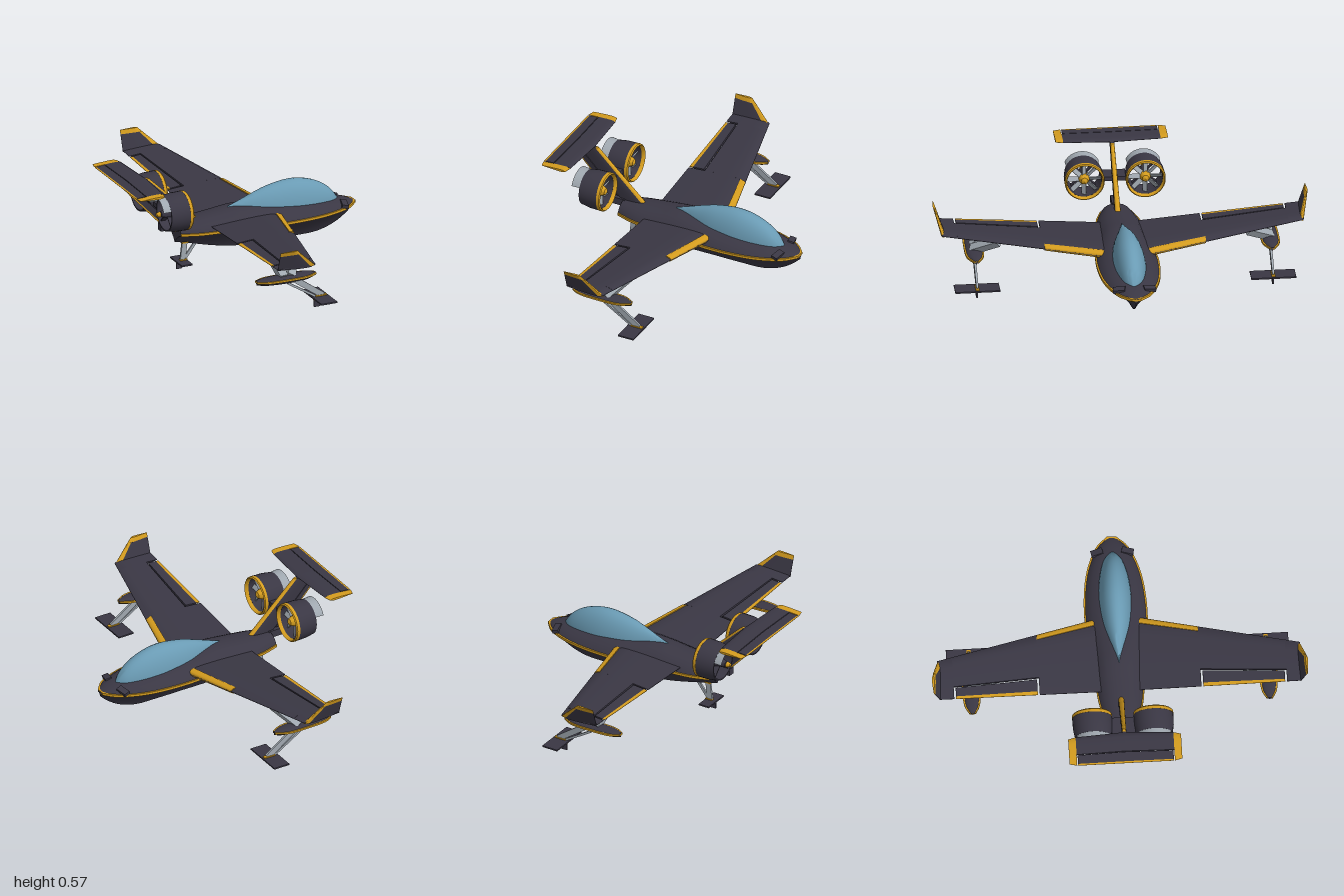
import * as THREE from 'three';
import { toCreasedNormals } from 'three/addons/utils/BufferGeometryUtils.js';

const paint = (name, color) => {
  const m = new THREE.MeshStandardMaterial({ color });
  m.name = name;
  return m;
};

export function createModel() {
  const root = new THREE.Group();
  root.name = 'seaplane';
  const dark = paint('charcoal', 0x3a3744);
  const gold = paint('gold', 0xd49c1e);
  const grey = paint('lightGrey', 0xa0a8b0);
  const glass = paint('canopyBlue', 0x6a9bb4);
  grey.side = THREE.DoubleSide;

  const add = (name, geo, mat) => {
    const m = new THREE.Mesh(geo, mat);
    m.name = name;
    root.add(m);
    return m;
  };
  const box = (name, mat, x0, x1, y0, y1, z0, z1) =>
    add(name, new THREE.BoxGeometry(x1 - x0, y1 - y0, Math.abs(z1 - z0)), mat)
      .position.set((x0 + x1) / 2, (y0 + y1) / 2, (z0 + z1) / 2);

  // Capped skin over closed rings of [x, y, z]; faces are turned outward by signed volume
  function loft(rings, crease = 0.6) {
    const n = rings[0].length, pts = rings.flat(), idx = [];
    for (let i = 0; i < rings.length - 1; i++)
      for (let j = 0; j < n; j++) {
        const a = i * n + j, b = i * n + (j + 1) % n;
        idx.push(a, b, a + n, b, b + n, a + n);
      }
    [0, rings.length - 1].forEach((r) => {
      const c = [0, 1, 2].map((k) => rings[r].reduce((s, p) => s + p[k], 0) / n);
      const ci = pts.push(c) - 1;
      for (let j = 0; j < n; j++) {
        const a = r * n + j, b = r * n + (j + 1) % n;
        r ? idx.push(ci, a, b) : idx.push(ci, b, a);
      }
    });
    const v = pts.map((p) => new THREE.Vector3(...p));
    let vol = 0;
    const cr = new THREE.Vector3();
    for (let i = 0; i < idx.length; i += 3)
      vol += v[idx[i]].dot(cr.crossVectors(v[idx[i + 1]], v[idx[i + 2]]));
    if (vol < 0) idx.reverse();
    const g = new THREE.BufferGeometry().setFromPoints(v);
    g.setIndex(idx);
    return toCreasedNormals(g, crease);
  }

  // Part of a tapered aerofoil between end sections [front x, back x, y, z, thickness]
  function panel(name, mat, A, B, u0, u1, f0, f1, axis = 'y', fat = 1) {
    const ring = (u) => {
      const [xl, xt, y, z, t] = A.map((a, i) => a + (B[i] - a) * u);
      const up = [], low = [];
      for (let i = 0; i <= 8; i++) {
        const f = f0 + (f1 - f0) * i / 8;
        const h = fat * t * (0.04 + 1.29 * (Math.sqrt(f) - f) * (1.6 - 0.3 * f));
        const x = xl + (xt - xl) * f;
        up.push(axis === 'y' ? [x, y + h, z] : [x, y, z + h]);
        low.unshift(axis === 'y' ? [x, y - h, z] : [x, y, z - h]);
      }
      return [...up, ...low];
    };
    add(name, loft([ring(u0), ring(u1)]), mat);
  }

  // Boat-shaped body from stations [x, half width, top, keel] with a gold chine strip
  const upper = [[1, 0], [0.93, 0.25], [0.75, 0.62], [0.5, 0.87], [0.25, 0.97], [0, 1]];
  const lower = [[1, 1], [0.85, 0.87], [0.5, 0.64], [0.2, 0.32], [0.04, 0.02], [0, 0]];
  const spline = (st, n) => {
    const top = new THREE.CatmullRomCurve3(st.map((s) => new THREE.Vector3(s[0], s[1], s[2])));
    const bot = new THREE.CatmullRomCurve3(st.map((s) => new THREE.Vector3(s[0], s[1], s[3] ?? 0)));
    return Array.from({ length: n + 1 }, (_, i) => {
      const a = top.getPoint(i / n), b = bot.getPoint(i / n);
      return [a.x, Math.max(a.y, 0.002), a.y, b.z].map((q, k) => (k === 2 ? a.z : q));
    });
  };
  function hull(name, stations, c, zc, strip) {
    const st = spline(stations, 30);
    const both = (half) => [...half, ...half.slice(0, -1).reverse().map(([x, y, z]) => [x, y, 2 * zc - z])];
    add(name + 'Deck', loft(st.map(([x, w, t]) => both(upper.map(([a, b]) => [x, c + (t - c) * b, zc + w * a])))), dark);
    add(name + 'Bottom', loft(st.map(([x, w, , k]) => both(lower.map(([a, b]) => [x, k + (c - k) * b, zc + w * a])))), dark);
    add(name + 'Chine', loft(st.map(([x, w]) => [[x, c - strip, zc - w - 0.004], [x, c + strip, zc - w - 0.004],
      [x, c + strip, zc + w + 0.004], [x, c - strip, zc + w + 0.004]])), gold);
  }

  // Straight bar between two points: w across in the x-y plane, d deep
  function beam(name, mat, a, b, w, d) {
    const p = new THREE.Vector3(...a), q = new THREE.Vector3(...b);
    const m = add(name, new THREE.BoxGeometry(w, p.distanceTo(q), d), mat);
    m.position.copy(p).add(q).multiplyScalar(0.5);
    m.quaternion.setFromUnitVectors(new THREE.Vector3(0, 1, 0), q.sub(p).normalize());
  }

  // Fuselage
  hull('fuselage', [
    [-0.35, 0.08, 0.285, 0.17], [-0.25, 0.112, 0.295, 0.145], [-0.12, 0.128, 0.308, 0.112], [0, 0.137, 0.32, 0.09],
    [0.2, 0.163, 0.308, 0.088], [0.35, 0.162, 0.298, 0.088], [0.48, 0.145, 0.285, 0.092], [0.58, 0.113, 0.272, 0.122],
    [0.65, 0.075, 0.256, 0.165], [0.7, 0.02, 0.238, 0.21]], 0.234, 0, 0.007);
  box('tailBlock', dark, -0.44, -0.34, 0.25, 0.29, -0.02, 0.02);

  // Canopy bubble
  const can = spline([[-0.04, 0.004, 0.322], [0.03, 0.03, 0.345], [0.1, 0.052, 0.37], [0.2, 0.076, 0.4], [0.33, 0.088, 0.416],
    [0.43, 0.082, 0.4], [0.51, 0.066, 0.365], [0.565, 0.045, 0.32], [0.605, 0.01, 0.265]], 30);
  add('canopy', loft(can.map(([x, w, t]) => Array.from({ length: 17 }, (_, i) => {
    const a = Math.PI * i / 16;
    return [x, 0.25 + (t - 0.25) * Math.sin(a), w * Math.cos(a)];
  })), 1), glass);

  // Blades turning about the x axis inside a duct
  function fan(s) {
    const zc = s * 0.163, yc = 0.412;
    const turned = (name, mat, profile) => {
      const g = new THREE.LatheGeometry(profile.map(([r, x]) => new THREE.Vector2(r, x)), 32);
      add(name, toCreasedNormals(g.rotateZ(-Math.PI / 2), 0.6), mat).position.set(0, yc, zc);
    };
    turned('duct', dark, [[0.09, -0.49], [0.097, -0.49], [0.105, -0.44], [0.106, -0.38], [0.092, -0.38], [0.09, -0.49]]);
    turned('ductRim', gold, [[0.092, -0.382], [0.107, -0.382], [0.106, -0.366], [0.1, -0.36], [0.095, -0.366], [0.092, -0.382]]);
    turned('spinner', gold, [[0, -0.425], [0.03, -0.425], [0.028, -0.4], [0.018, -0.378], [0, -0.368]]);
    turned('motor', dark, [[0, -0.52], [0.016, -0.51], [0.027, -0.46], [0.027, -0.425], [0, -0.425]]);
    turned('motorTip', gold, [[0, -0.54], [0.01, -0.535], [0.016, -0.515], [0, -0.515]]);
    for (let i = 0; i < 8; i++) {
      const g = new THREE.BoxGeometry(0.006, 0.07, 0.026).rotateY(0.6).translate(0, 0.058, 0).rotateX(i * Math.PI / 4);
      add('fanBlade', g, grey).position.set(-0.41, yc, zc);
    }
    for (let i = 0; i < 4; i++) {
      const g = new THREE.BoxGeometry(0.03, 0.07, 0.005).translate(0, 0.058, 0).rotateX((i + 0.5) * Math.PI / 2);
      add('stator', g, dark).position.set(-0.465, yc, zc);
    }
    const hood = new THREE.CylinderGeometry(0.095, 0.1, 0.055, 20, 1, true, 1.5 * Math.PI - 1.15, 2.3);
    add('exhaustHood', hood.rotateZ(-Math.PI / 2), grey).position.set(-0.508, yc, zc);
    box('enginePylon', dark, -0.48, -0.39, 0.4, 0.424, s * 0.005, s * 0.062);
  }

  for (const s of [1, -1]) {
    // Wing: inner panel, panel ahead of the aileron, aileron, outer panel
    const wing = (z) => [0.255 - 0.245 * z, -0.18 - 0.02 * z, 0.255 + 0.07 * z, s * z, 0.042 - 0.02 * z];
    const W = (name, mat, z0, z1, f0, f1, fat) => panel(name, mat, wing(z0), wing(z1), 0, 1, f0, f1, 'y', fat);
    W('innerWing', dark, 0.05, 0.43, 0, 1);
    W('leadingEdgeTrim', gold, 0.12, 0.43, -0 + 0.0005, 0.09, 1.15);
    W('midWing', dark, 0.43, 0.885, 0, 0.715);
    W('aileron', dark, 0.44, 0.875, 0.745, 0.94);
    W('aileronTrim', gold, 0.44, 0.875, 0.94, 1);
    W('outerWing', dark, 0.885, 0.965, 0, 1);

    // Upturned wing tip with gold edges
    const foot = [0.02, -0.2, 0.317, s * 0.957, 0.022], tip = [-0.1, -0.2, 0.43, s * 0.994, 0.012];
    panel('winglet', dark, foot, tip, 0, 0.8, 0.14, 1, 'z');
    panel('wingletFrontTrim', gold, foot, tip, 0, 0.8, 0, 0.14, 'z');
    panel('wingletTopTrim', gold, foot, tip, 0.8, 1, 0, 1, 'z');

    // Outrigger float on two slanted arms
    const z = s * 0.79;
    hull('float', [[-0.245, 0.012, 0.21, 0.185], [-0.2, 0.036, 0.213, 0.173], [-0.08, 0.046, 0.216, 0.165],
      [0.04, 0.04, 0.215, 0.168], [0.1, 0.01, 0.208, 0.185]], 0.2, z, 0.005);
    beam('floatArm', grey, [-0.09, 0.205, s * 0.8], [-0.1, 0.285, s * 0.665], 0.045, 0.04);
    beam('floatArm', grey, [-0.05, 0.205, s * 0.8], [0.03, 0.285, s * 0.665], 0.045, 0.04);

    // Hydrofoil below the float
    beam('foilLeg', grey, [-0.02, 0.18, z], [0.145, 0.064, z], 0.032, 0.012);
    beam('foilBrace', grey, [-0.06, 0.165, z], [0.1, 0.066, z], 0.012, 0.01);
    box('foil', dark, 0.08, 0.173, 0.056, 0.064, s * 0.67, s * 0.91);
    box('foilMount', gold, 0.1, 0.165, 0.064, 0.07, s * 0.78, s * 0.8);
    box('foilFin', dark, 0.092, 0.13, 0.005, 0.056, s * 0.786, s * 0.794);
    box('foilFinTrim', gold, 0.09, 0.132, 0.044, 0.05, s * 0.784, s * 0.796);

    // Half of the tailplane
    const a = [-0.525, -0.7, 0.563, 0, 0.018], b = [-0.54, -0.7, 0.563, s * 0.26, 0.014], c = [-0.55, -0.69, 0.563, s * 0.3, 0.012];
    panel('tailplane', dark, a, b, 0, 1, 0, 0.62);
    panel('elevator', dark, a, b, 0, 0.98, 0.645, 0.94);
    panel('elevatorTrim', gold, a, b, 0, 0.98, 0.94, 1);
    panel('tailplaneTip', gold, b, c, 0, 1, 0, 1);

    fan(s);
    // Shoulder beside the nose
    beam('noseShoulder', dark, [0.6, 0.248, s * 0.112], [0.615, 0.258, s * 0.05], 0.035, 0.02);
  }

  // Swept fin and rudder
  const base = [-0.205, -0.425, 0.275, 0, 0.03], top = [-0.505, -0.69, 0.56, 0, 0.022];
  panel('fin', dark, base, top, 0, 1, 0.08, 0.7, 'z');
  panel('finTrim', gold, base, top, 0, 1, 0, 0.08, 'z', 1.1);
  panel('rudder', dark, base, top, 0.08, 0.91, 0.73, 0.95, 'z');
  panel('rudderTrim', gold, base, top, 0.08, 0.91, 0.95, 1, 'z');

  // Rear hydrofoil
  beam('rearLeg', grey, [-0.292, 0.17, 0], [-0.305, 0.06, 0], 0.03, 0.012);
  beam('rearBrace', grey, [-0.225, 0.155, 0], [-0.29, 0.07, 0], 0.016, 0.01);
  box('rearLegCollar', gold, -0.31, -0.275, 0.155, 0.162, -0.01, 0.01);
  box('rearFoil', dark, -0.343, -0.28, 0.05, 0.058, -0.075, 0.075);
  box('rearFoilMount', gold, -0.32, -0.28, 0.058, 0.064, -0.01, 0.01);
  box('rearFoilFin', dark, -0.342, -0.308, 0.014, 0.05, -0.004, 0.004);
  return root;
}
